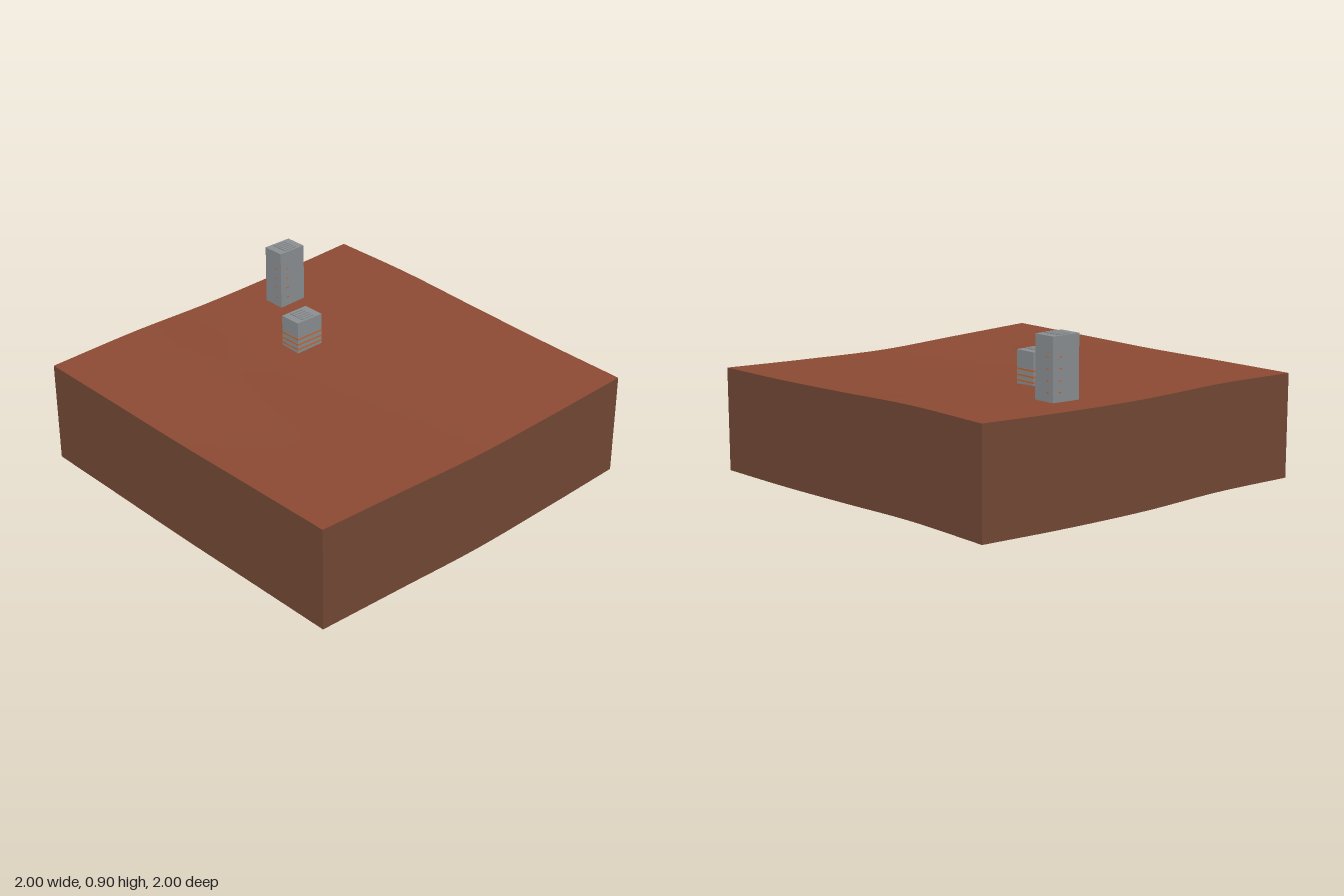
import * as THREE from 'three';

// Ground heights: rows run z = -1..1, columns x = -1..1
const HEIGHTS = [
  [0.61, 0.61, 0.59, 0.572, 0.562],
  [0.59, 0.585, 0.57, 0.555, 0.546],
  [0.58, 0.57, 0.55, 0.54, 0.537],
  [0.585, 0.58, 0.57, 0.56, 0.555],
  [0.573, 0.57, 0.566, 0.57, 0.573],
];
const DEPTH = 0.537;

// Smooth curve through five evenly spaced values, t in -1..1
function smooth(v, t) {
  const s = THREE.MathUtils.clamp((t + 1) * 2, 0, 4);
  const i = Math.min(3, Math.floor(s)), f = s - i;
  const b = v[i], c = v[i + 1];
  const a = i > 0 ? v[i - 1] : 2 * b - c;
  const d = i < 3 ? v[i + 2] : 2 * c - b;
  return b + 0.5 * f * (c - a + f * (2 * a - 5 * b + 4 * c - d + f * (3 * (b - c) + d - a)));
}
const groundHeight = (x, z) => smooth(HEIGHTS.map((row) => smooth(row, x)), z);

export function createModel() {
  const model = new THREE.Group();
  const mat = (name, color, side = THREE.FrontSide) => {
    const m = new THREE.MeshStandardMaterial({ color, side });
    m.name = name;
    return m;
  };
  const soil = mat('red soil', 0x8c4a33, THREE.DoubleSide);
  const earth = mat('brown earth', 0x734835, THREE.DoubleSide);
  const concrete = mat('grey concrete', 0x8b8f92);
  const orange = mat('orange trim', 0xc8642a);

  const add = (parent, name, geometry, material, x = 0, y = 0, z = 0) => {
    const mesh = new THREE.Mesh(geometry, material);
    mesh.name = name;
    mesh.position.set(x, y, z);
    parent.add(mesh);
    return mesh;
  };

  // Gently rolling ground
  const ground = new THREE.PlaneGeometry(2, 2, 32, 32).rotateX(-Math.PI / 2);
  const gp = ground.attributes.position;
  for (let i = 0; i < gp.count; i++) gp.setY(i, groundHeight(gp.getX(i), gp.getZ(i)));
  ground.computeVertexNormals();
  add(model, 'ground', ground, soil);

  // Four cut walls following the ground edge, open underneath
  ['frontWall', 'leftWall', 'backWall', 'rightWall'].forEach((name, k) => {
    const wall = new THREE.PlaneGeometry(2, 1, 32, 1).translate(0, 0, 1).rotateY(k * Math.PI / 2);
    const p = wall.attributes.position;
    for (let i = 0; i < p.count; i++) {
      const h = groundHeight(p.getX(i), p.getZ(i));
      p.setY(i, p.getY(i) > 0 ? h : h - DEPTH);
    }
    add(model, name, wall, earth);
  });

  // Towers: stacked storeys, roof slats and thin trim bands
  const W = 0.12, D = 0.162;
  function tower(name, x, z, base, top, storeys, bands) {
    const g = new THREE.Group();
    g.name = name;
    g.position.set(x, 0, z);
    const h = (top - base) / storeys;
    for (let i = 0; i < storeys; i++) {
      add(g, 'storey', new THREE.BoxGeometry(W, h, D), concrete, 0, base + (i + 0.5) * h, 0);
    }
    for (let i = -2; i <= 2; i++) {
      add(g, 'roofSlat', new THREE.BoxGeometry(0.011, 0.005, D * 0.5), concrete, i * 0.02, top + 0.0025, 0);
    }
    for (const y of bands) {
      add(g, 'trimBand', new THREE.BoxGeometry(W + 0.002, 0.008, D + 0.002), orange, 0, y, 0);
    }
    model.add(g);
    return g;
  }
  const tall = tower('tallTower', -0.75, -0.335, 0.565, 0.893, 6, []);
  tower('shortTower', -0.335, -0.082, 0.553, 0.733, 5, [0.583, 0.61, 0.64]);

  // Small lit windows on the tall tower
  for (let i = 0; i < 4; i++) {
    const y = 0.63 + i * 0.055;
    for (const s of [-1, 1]) {
      add(tall, 'window', new THREE.BoxGeometry(0.014, 0.006, 0.002), orange, s * 0.025, y, s * D / 2);
      add(tall, 'window', new THREE.BoxGeometry(0.002, 0.006, 0.014), orange, s * W / 2, y, s * 0.035);
    }
  }
  return model;
}
